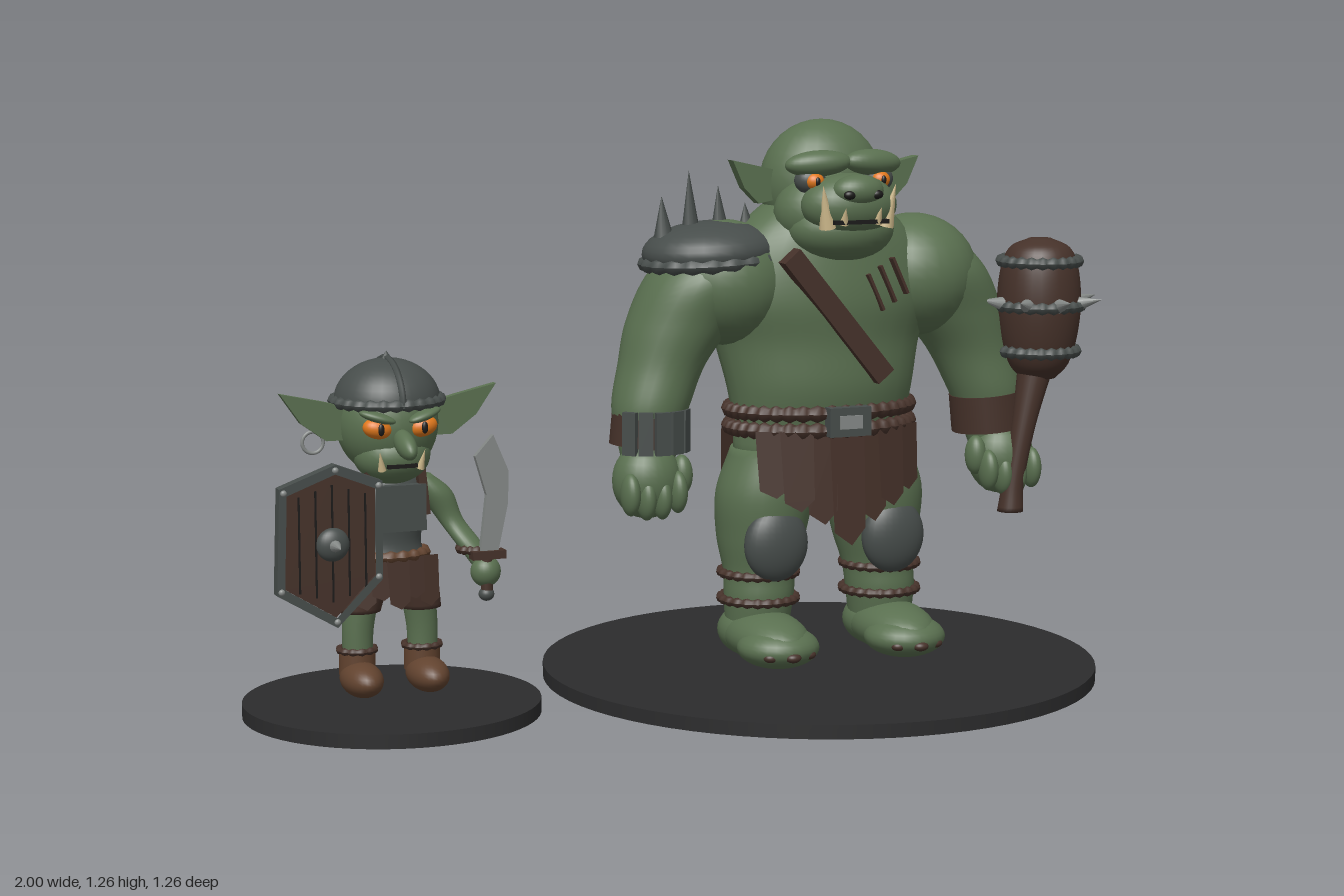
import * as THREE from 'three';

const material = (name, color) => new THREE.MeshStandardMaterial({ name, color });
const V = (a) => new THREE.Vector3(...a);

export function createModel() {
  const skin = material('green skin', 0x5a7050), base = material('base black', 0x2c2c2d);
  const iron = material('dark iron', 0x474d4b), steel = material('steel', 0x858987);
  const brown = material('dark leather', 0x46322a), leather = material('leather', 0x62432f);
  const orange = material('orange', 0xe0781c), bone = material('bone', 0xcdb88a);
  const black = material('black', 0x1b1a19), cloth = brown.clone();
  cloth.name = 'loincloth leather'; cloth.side = THREE.DoubleSide;

  const model = new THREE.Group();
  const ogre = new THREE.Group(), goblin = new THREE.Group();
  ogre.name = 'ogre'; ogre.position.x = 0.34;
  goblin.name = 'goblin'; goblin.position.x = -0.68;
  model.add(ogre, goblin);
  let at = model; // group that receives new parts

  const add = (name, geo, mat, pos = [0, 0, 0], rot = [0, 0, 0], scale = [1, 1, 1]) => {
    const m = new THREE.Mesh(geo, mat);
    m.name = name;
    m.position.set(...pos); m.rotation.set(...rot); m.scale.set(...scale);
    at.add(m);
    return m;
  };
  const ball = (name, mat, pos, size, rot) => add(name, new THREE.SphereGeometry(1, 28, 18), mat, pos, rot, size);
  const box = (name, mat, pos, size, rot) => add(name, new THREE.BoxGeometry(...size), mat, pos, rot);
  const tube = (name, mat, pos, r, h, rot) => add(name, new THREE.CylinderGeometry(r, r, h, 24), mat, pos, rot);
  // Cone from a base point to a tip
  const spike = (name, mat, a, b, r) => {
    const d = V(b).sub(V(a)), len = d.length();
    const m = add(name, new THREE.ConeGeometry(r, len, 10).translate(0, len / 2, 0), mat, a);
    m.quaternion.setFromUnitVectors(V([0, 1, 0]), d.normalize());
  };
  // Smooth body through level rings [x, y, z, rx, rz], listed from bottom to top
  const loft = (name, mat, rings, sx = 1) => {
    const c = new THREE.CatmullRomCurve3(rings.map((r) => V([r[0] * sx, r[1], r[2]])), false, 'catmullrom');
    const s = new THREE.CatmullRomCurve3(rings.map((r) => V([r[3], r[4] ?? r[3], 0])), false, 'catmullrom');
    const n = (rings.length - 1) * 6, seg = 28, pos = [], index = [];
    for (let k = -1; k <= n + 1; k++) {
      const t = Math.min(Math.max(k / n, 0), 1), p = c.getPoint(t), r = s.getPoint(t);
      const f = k < 0 || k > n ? 0.01 : 1;
      for (let j = 0; j < seg; j++) {
        const a = (j / seg) * Math.PI * 2;
        pos.push(p.x + r.x * f * Math.cos(a), p.y, p.z + r.y * f * Math.sin(a));
      }
    }
    for (let i = 0; i < n + 2; i++) for (let j = 0; j < seg; j++) {
      const a = i * seg + j, b = i * seg + ((j + 1) % seg);
      index.push(a, a + seg, b, b, a + seg, b + seg);
    }
    const g = new THREE.BufferGeometry();
    g.setAttribute('position', new THREE.Float32BufferAttribute(pos, 3));
    g.setIndex(index);
    g.computeVertexNormals();
    return add(name, g, mat);
  };
  // Beaded rope ring lying level
  const rope = (name, mat, pos, rx, rz, r, n) => {
    const g = new THREE.TorusGeometry(1, r, 8, n * 4), p = g.attributes.position;
    for (let i = 0; i < p.count; i++) {
      const u = Math.atan2(p.getY(i), p.getX(i)), k = 0.9 + 0.18 * Math.cos(u * n);
      const q = Math.hypot(p.getX(i), p.getY(i)) - 1;
      p.setXYZ(i, Math.cos(u) * (rx + q * k), Math.sin(u) * (rz + q * k), p.getZ(i) * k);
    }
    g.rotateX(Math.PI / 2);
    g.computeVertexNormals();
    return add(name, g, mat, pos);
  };
  const outline = (pts) => new THREE.Shape(pts.map((p) => new THREE.Vector2(...p)));
  const plate = (name, mat, pts, z, depth, hole) => {
    const s = outline(pts);
    if (hole) s.holes.push(outline(hole));
    return add(name, new THREE.ExtrudeGeometry(s, { depth, bevelEnabled: false }), mat, [0, 0, z]);
  };
  // Hanging strip with a ragged point
  const strip = (x, z, w, top, bottom, tilt) => {
    const h = top - bottom, s = outline([[-w / 2, 0], [w / 2, 0], [w * 0.5, -h * 0.85], [w * 0.1, -h], [-w * 0.4, -h * 0.88]]);
    add('loinclothStrip', new THREE.ShapeGeometry(s), cloth, [x, top, z], [tilt, x * (z > 0 ? 2.5 : -2.5), 0]);
  };

  // Round bases
  add('smallBase', new THREE.CylinderGeometry(0.323, 0.323, 0.031, 64), base, [-0.677, 0.0155, 0]);
  add('largeBase', new THREE.CylinderGeometry(0.63, 0.63, 0.031, 72), base, [0.34, 0.0155, 0]);

  // ---------- Ogre ----------
  at = ogre;
  loft('torso', skin, [[0, 0.45, 0, 0.12, 0.08], [0, 0.51, 0, 0.2, 0.115], [0, 0.58, 0, 0.207, 0.125], [0, 0.67, 0, 0.222, 0.145],
    [0, 0.77, -0.015, 0.245, 0.16], [0, 0.86, -0.01, 0.27, 0.163], [0, 0.95, -0.005, 0.25, 0.15], [0, 1.03, 0, 0.19, 0.13], [0, 1.1, 0, 0.1, 0.1]]);
  // Head
  ball('cranium', skin, [0, 1.12, -0.002], [0.142, 0.143, 0.12]);
  ball('cheeks', skin, [0, 1.06, 0.07], [0.142, 0.1, 0.1]);
  ball('jaw', skin, [0, 1.025, 0.1], [0.125, 0.075, 0.095]);
  ball('snout', skin, [0, 1.08, 0.145], [0.112, 0.07, 0.075]);
  ball('nose', skin, [0, 1.115, 0.19], [0.06, 0.036, 0.04]);
  box('mouth', black, [0, 1.048, 0.2], [0.13, 0.009, 0.03]);
  for (const s of [-1, 1]) {
    ball('brow', skin, [s * 0.066, 1.172, 0.125], [0.075, 0.029, 0.034], [0, s * 0.2, s * -0.06]);
    ball('eyeSocket', iron, [s * 0.082, 1.135, 0.118], [0.036, 0.03, 0.03]);
    ball('eye', orange, [s * 0.08, 1.134, 0.137], [0.022, 0.019, 0.02]);
    ball('pupil', black, [s * 0.08, 1.134, 0.155], [0.006, 0.01, 0.005]);
    ball('nostril', black, [s * 0.033, 1.108, 0.219], [0.014, 0.01, 0.01]);
    spike('tusk', bone, [s * 0.07, 1.035, 0.185], [s * 0.088, 1.13, 0.2], 0.019);
    spike('tooth', bone, [s * 0.04, 1.045, 0.205], [s * 0.043, 1.08, 0.222], 0.011);
    plate('ear', skin, [[s * 0.115, 1.09], [s * 0.165, 1.08], [s * 0.2, 1.115], [s * 0.228, 1.177], [s * 0.13, 1.155]], 0, 0.03);
    // Arms
    ball('shoulder', skin, [s * 0.235, 0.905, -0.01], [0.15, 0.14, 0.145]);
    loft('arm', skin, [[0.43, 0.5, 0.03, 0.055], [0.425, 0.57, 0.015, 0.07], [0.415, 0.64, 0.005, 0.087], [0.382, 0.73, -0.01, 0.098],
      [0.335, 0.82, -0.018, 0.122, 0.118], [0.28, 0.92, -0.015, 0.128, 0.13], [0.25, 1.0, -0.01, 0.08]], s);
    ball('hand', skin, [s * 0.44, 0.48, 0.045], [0.078, 0.085, 0.07]);
    for (let i = 0; i < 4; i++) ball('finger', skin, [s * (0.385 + i * 0.037), 0.445 + (i % 3 ? 0 : 0.012), 0.09], [0.021, 0.047, 0.032]);
    ball('thumb', skin, [s * 0.365, 0.49, 0.065], [0.024, 0.045, 0.028]);
    // Legs and feet
    loft('leg', skin, [[0.155, 0.1, 0, 0.07], [0.152, 0.19, 0.005, 0.079], [0.148, 0.25, 0, 0.083], [0.143, 0.33, -0.005, 0.1, 0.106],
      [0.136, 0.43, 0, 0.11, 0.112], [0.12, 0.53, 0, 0.09, 0.1]], s);
    ball('heel', skin, [s * 0.157, 0.112, -0.005], [0.084, 0.062, 0.09]);
    ball('foot', skin, [s * 0.157, 0.108, 0.06], [0.086, 0.058, 0.145]);
    ball('foreFoot', skin, [s * 0.157, 0.097, 0.125], [0.093, 0.047, 0.09]);
    for (const i of [-1, 0, 1]) ball('toenail', brown, [s * 0.157 + i * 0.045, 0.088, 0.208 - Math.abs(i) * 0.02], [0.018, 0.011, 0.015]);
    ball('kneePad', iron, [s * 0.145, 0.322, 0.085], [0.076, 0.085, 0.04]);
    for (const y of [0.187, 0.247]) rope('legRope', brown, [s * 0.152, y, 0.003], 0.084, 0.084, 0.011, 22);
  }
  // Belt and loincloth
  for (const y of [0.578, 0.617]) rope('beltRope', brown, [0, y, -0.002], 0.212, 0.138, 0.019, 40);
  box('buckle', iron, [0, 0.6, 0.15], [0.1, 0.065, 0.03]);
  box('buckleCentre', steel, [0, 0.6, 0.164], [0.055, 0.03, 0.009]);
  strip(0, 0.145, 0.085, 0.58, 0.32, -0.05);
  strip(0, -0.142, 0.1, 0.58, 0.31, 0.07);
  for (const s of [-1, 1]) [[0.062, 0.138, 0.37], [0.115, 0.128, 0.4], [0.165, 0.106, 0.43]].forEach(([x, z, y]) => {
    strip(s * x, z, 0.075, 0.58, y, -0.06);
    strip(s * x, -z, 0.085, 0.58, y - 0.04, 0.1);
  });
  // Chest strap and scars
  box('chestStrap', brown, [-0.028, 0.835, 0.146], [0.048, 0.36, 0.036], [0, 0, 0.695]);
  for (let i = 0; i < 3; i++) box('scar', brown, [0.065 + i * 0.032, 0.885 + i * 0.017, 0.147 - i * 0.005], [0.007, 0.09, 0.014], [-0.08, 0.2, 0.45]);
  // Shoulder guard
  ball('shoulderGuard', iron, [-0.265, 0.975, -0.012], [0.155, 0.068, 0.138], [0, 0, 0.05]);
  rope('guardRim', iron, [-0.265, 0.955, -0.012], 0.146, 0.128, 0.017, 20).rotation.z = 0.05;
  [[-0.375, 1.1], [-0.31, 1.155], [-0.24, 1.12], [-0.175, 1.08]].forEach(([x, y]) => spike('guardSpike', iron, [x, 1.01, -0.015], [x - 0.005, y, -0.015], 0.022));
  // Wrist guards
  tube('leftBracer', brown, [0.423, 0.585, 0.008], 0.085, 0.085, [0, 0, 0.1]);
  tube('rightBracer', brown, [-0.423, 0.585, 0.008], 0.083, 0.07, [0, 0, -0.1]);
  for (let i = -2; i <= 2; i++) {
    const a = i * 0.42;
    box('bracerPlate', iron, [-0.423 + Math.sin(a) * 0.087, 0.588, 0.008 + Math.cos(a) * 0.087], [0.032, 0.095, 0.016], [0, a, 0]);
  }
  // Club
  loft('clubHandle', brown, [[0.438, 0.36, 0.1, 0.03], [0.445, 0.43, 0.1, 0.025], [0.47, 0.56, 0.1, 0.028], [0.505, 0.7, 0.092, 0.042]]);
  loft('clubHead', brown, [[0.51, 0.665, 0.09, 0.04], [0.51, 0.7, 0.09, 0.07], [0.51, 0.76, 0.09, 0.088], [0.51, 0.84, 0.09, 0.096],
    [0.51, 0.92, 0.09, 0.088], [0.51, 0.965, 0.09, 0.068], [0.51, 0.986, 0.09, 0.025]]);
  [[0.728, 0.084], [0.833, 0.094], [0.934, 0.086]].forEach(([y, r]) => rope('clubBand', iron, [0.51, y, 0.09], r, r, 0.014, 22));
  for (let i = 0; i < 8; i++) {
    const a = (i * Math.PI) / 4, c = Math.cos(a), d = Math.sin(a);
    spike('clubSpike', steel, [0.51 + c * 0.09, 0.838, 0.09 + d * 0.09], [0.51 + c * 0.148, 0.85, 0.09 + d * 0.148], 0.018);
  }

  // ---------- Goblin ----------
  at = goblin;
  loft('vest', iron, [[0, 0.27, 0, 0.07, 0.05], [0, 0.33, 0, 0.082, 0.06], [0, 0.38, 0, 0.07, 0.052], [0, 0.45, 0, 0.083, 0.06],
    [0, 0.5, 0, 0.078, 0.055], [0, 0.55, 0, 0.035, 0.035]]);
  box('chestPlate', iron, [0.012, 0.458, 0.056], [0.105, 0.1, 0.022]);
  for (const s of [-1, 1]) box('vestStrap', brown, [s * 0.062, 0.49, 0.05], [0.018, 0.1, 0.02], [0, 0, s * 0.1]);
  rope('waistBelt', leather, [0, 0.352, 0], 0.078, 0.058, 0.013, 18);
  for (let i = -2; i <= 2; i++) strip(i * 0.036, 0.064 - Math.abs(i) * 0.008, 0.05, 0.35, 0.24 + (i & 1) * 0.02, -0.08);
  ball('pouch', leather, [-0.045, 0.3, -0.08], [0.04, 0.042, 0.036]);
  for (const s of [-1, 1]) {
    // Legs and boots
    loft('leg', skin, [[0.073, 0.1, 0, 0.032], [0.072, 0.19, 0, 0.034], [0.06, 0.28, 0, 0.04]], s);
    loft('trouserLeg', brown, [[0.068, 0.23, 0, 0.046], [0.058, 0.28, 0, 0.05], [0.045, 0.34, 0, 0.045]], s);
    ball('boot', leather, [s * 0.074, 0.086, 0.03], [0.044, 0.038, 0.076]);
    tube('bootCuff', leather, [s * 0.073, 0.118, -0.005], 0.039, 0.055);
    rope('bootStrap', brown, [s * 0.073, 0.145, -0.005], 0.038, 0.038, 0.008, 12);
    // Face
    plate('ear', skin, [[s * 0.085, 0.605], [s * 0.09, 0.675], [s * 0.15, 0.69], [s * 0.24, 0.71], [s * 0.195, 0.645], [s * 0.14, 0.605]], 0, 0.018);
    ball('eye', orange, [s * 0.05, 0.637, 0.092], [0.032, 0.022, 0.024], [0, 0, s * 0.2]);
    ball('pupil', black, [s * 0.048, 0.637, 0.114], [0.007, 0.013, 0.005]);
    ball('brow', skin, [s * 0.052, 0.662, 0.1], [0.04, 0.011, 0.02], [0, s * 0.3, s * 0.28]);
    spike('tusk', bone, [s * 0.042, 0.548, 0.096], [s * 0.05, 0.59, 0.108], 0.009);
  }
  ball('head', skin, [0, 0.635, 0], [0.11, 0.115, 0.107]);
  ball('jaw', skin, [0, 0.57, 0.03], [0.083, 0.062, 0.078]);
  ball('nose', skin, [0, 0.605, 0.128], [0.021, 0.026, 0.055], [0.3, 0, 0]);
  box('mouth', black, [0, 0.556, 0.104], [0.065, 0.008, 0.014]);
  add('helmet', new THREE.SphereGeometry(1, 32, 12, 0, Math.PI * 2, 0, Math.PI / 2), iron, [0, 0.68, 0], [0, 0, 0], [0.115, 0.095, 0.115]);
  rope('helmetBand', iron, [0, 0.685, 0], 0.113, 0.113, 0.013, 26);
  add('helmetRidge', new THREE.TorusGeometry(1, 0.07, 6, 32, Math.PI), iron, [0, 0.68, 0], [0, Math.PI / 2, 0], [0.115, 0.095, 0.11]);
  spike('helmetStud', iron, [0, 0.77, 0], [0, 0.79, 0], 0.014);
  add('earring', new THREE.TorusGeometry(0.023, 0.004, 8, 24), steel, [-0.168, 0.603, 0.01]);
  // Arms
  loft('leftArm', skin, [[0.19, 0.32, 0.075, 0.022], [0.165, 0.37, 0.045, 0.028], [0.135, 0.42, 0.01, 0.028], [0.105, 0.48, 0, 0.036], [0.075, 0.52, 0, 0.02]]);
  loft('rightArm', skin, [[-0.16, 0.37, 0.075, 0.022], [-0.155, 0.4, 0.04, 0.028], [-0.135, 0.43, 0.01, 0.028], [-0.105, 0.48, 0, 0.036], [-0.075, 0.52, 0, 0.02]]);
  ball('leftHand', skin, [0.191, 0.312, 0.082], [0.033, 0.034, 0.032]);
  ball('rightHand', skin, [-0.157, 0.385, 0.075], [0.03, 0.032, 0.026]);
  rope('wristWrap', brown, [0.172, 0.358, 0.053], 0.028, 0.03, 0.01, 12);
  // Sword
  plate('swordBlade', steel, [[0.175, 0.355], [0.215, 0.355], [0.238, 0.46], [0.24, 0.53], [0.206, 0.61], [0.165, 0.565], [0.19, 0.48]], 0.083, 0.014);
  box('swordGuard', brown, [0.193, 0.35, 0.09], [0.075, 0.018, 0.03]);
  tube('swordGrip', brown, [0.19, 0.31, 0.092], 0.013, 0.09);
  ball('swordPommel', iron, [0.189, 0.264, 0.092], [0.017, 0.015, 0.017]);
  // Shield
  const rim = [[-0.272, 0.525], [-0.15, 0.57], [-0.048, 0.53], [-0.05, 0.32], [-0.15, 0.222], [-0.28, 0.3]];
  const inner = rim.map(([x, y]) => [-0.157 + (x + 0.157) * 0.86, 0.4 + (y - 0.4) * 0.88]);
  plate('shieldRim', iron, rim, 0.09, 0.028, inner);
  plate('shieldBoards', brown, inner, 0.095, 0.016);
  for (let i = -2; i <= 2; i++) box('boardGap', black, [-0.157 + i * 0.036, 0.402, 0.111], [0.004, 0.25 - Math.abs(i) * 0.022, 0.004]);
  ball('shieldBoss', iron, [-0.157, 0.4, 0.112], [0.036, 0.036, 0.022]);
  spike('bossSpike', steel, [-0.157, 0.4, 0.128], [-0.157, 0.4, 0.175], 0.014);
  for (const [x, y] of rim) ball('rimStud', steel, [-0.157 + (x + 0.157) * 0.92, 0.4 + (y - 0.4) * 0.93, 0.118], [0.007, 0.007, 0.006]);

  return model;
}
